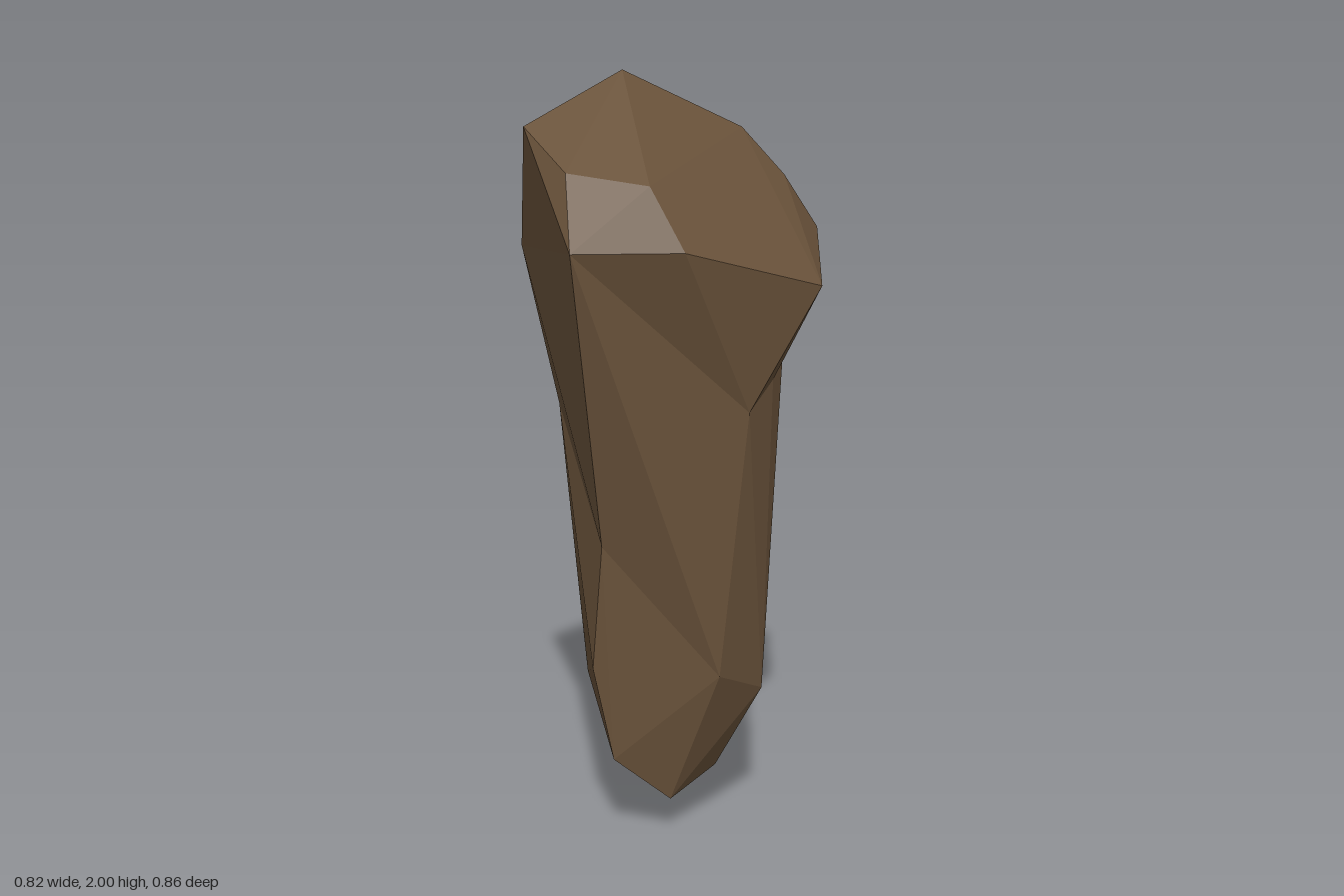
import * as THREE from 'three';
import { ConvexGeometry } from 'three/addons/geometries/ConvexGeometry.js';

// Corners shared by neighbouring stones, so the creases between them meet exactly
const rimLeft = [-0.375, 1.56, 0.375];
const rimBack = [-0.355, 1.54, -0.235];
const rimRight = [0.28, 1.465, 0.35];
const crownRight = [0.22, 1.855, -0.075];
const notch = [0.235, 1.565, -0.235];
const shoulder = [0.32, 1.46, -0.062];
const armpit = [0.245, 1.355, 0.19];
const throatSide = [0.185, 1.22, 0.265];
const throat = [0.095, 1.15, 0.335];
const nape = [-0.01, 1.32, -0.365];
const flankFront = [-0.27, 0.81, 0.252];
const flankBack = [-0.27, 1.11, -0.18];
const shin = [0.025, 0.455, 0.32];

const stones = {
  // Faceted cap: peak, crown and overhanging rim
  rockHead: [
    [-0.12, 2, -0.055],
    [-0.41, 1.855, 0.06], [-0.355, 1.745, 0.265], [-0.17, 1.715, 0.35],
    [0.015, 1.79, -0.32], [0.21, 1.705, -0.36], [0.1, 1.68, -0.43],
    [-0.105, 1.56, 0.425],
    crownRight, rimLeft, rimBack, rimRight, notch, armpit, throatSide, throat, nape,
  ],
  // Pointed ledge beside the notch
  rockLedge: [
    [0.32, 1.73, -0.015], [0.408, 1.59, 0.01],
    crownRight, rimRight, notch, shoulder, armpit,
  ],
  // Flank leading from the rim down into the shaft
  rockNeck: [rimLeft, rimBack, throat, nape, flankFront, flankBack, shin],
  // Tapering shaft: back bulge, lower ring and pointed foot
  rockShaft: [
    notch, shoulder, armpit, throatSide, throat, nape, flankFront, flankBack, shin,
    [-0.065, 0.94, -0.383],
    [-0.29, 0.48, 0.228], [0.175, 0.38, 0.235], [0.235, 0.4, -0.065],
    [0.14, 0.355, -0.185], [-0.045, 0.46, -0.307],
    [-0.2, 0.425, -0.21], [-0.2, 0.33, -0.17],
    [-0.24, 0.23, 0.243], [0.065, 0.15, 0.175], [-0.085, 0.1, 0.245],
    [-0.025, 0, -0.04],
  ],
};

export function createModel() {
  const group = new THREE.Group();
  group.name = 'rockPillar';
  const rock = new THREE.MeshStandardMaterial({ color: 0x69523a });
  rock.name = 'brown stone';

  for (const [name, corners] of Object.entries(stones)) {
    const geometry = new ConvexGeometry(corners.map((p) => new THREE.Vector3(...p)));
    const mesh = new THREE.Mesh(geometry, rock);
    mesh.name = name;
    group.add(mesh);
  }
  return group;
}
